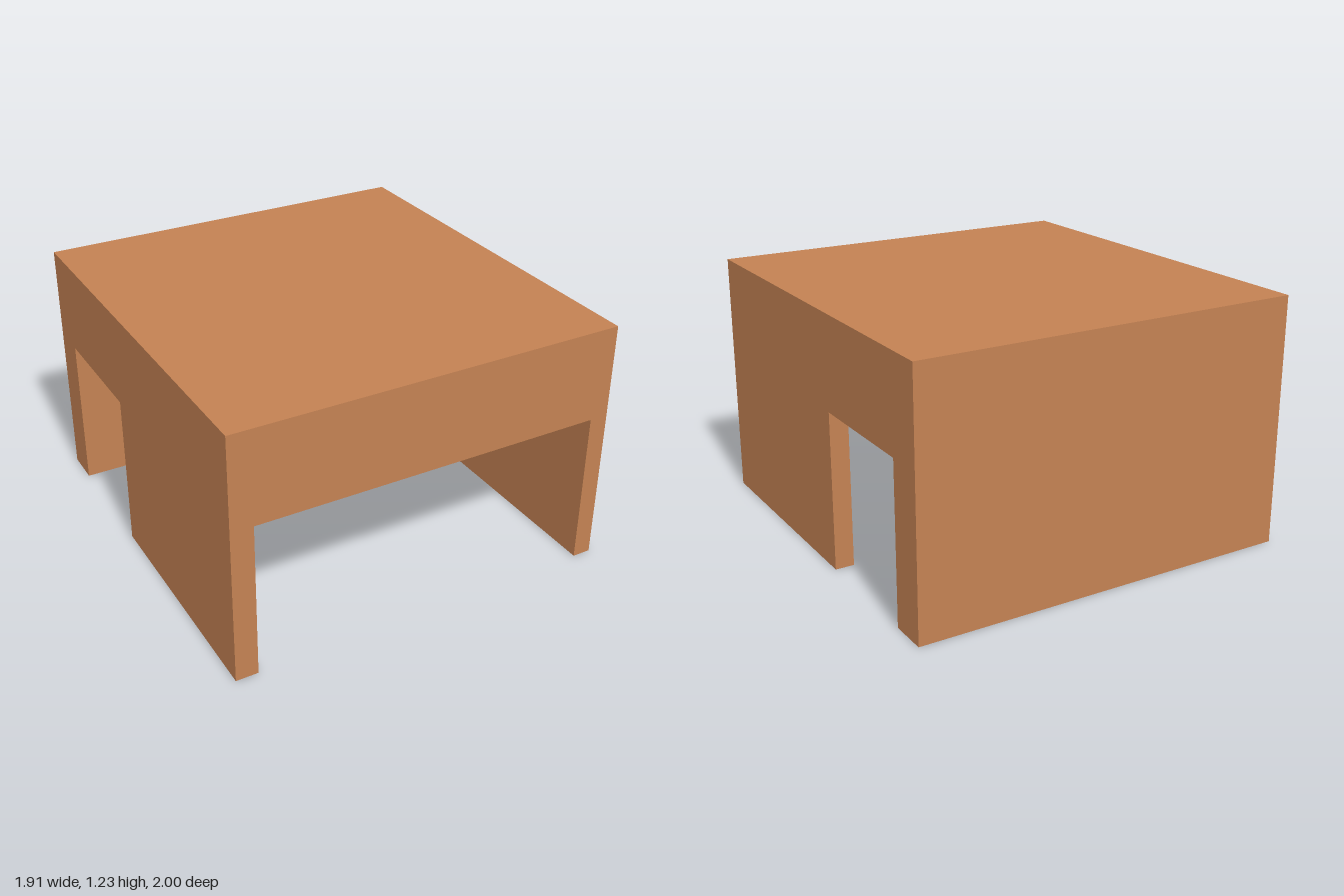
import * as THREE from 'three';

const HALF_W = 0.957, HEIGHT = 1.225;
const CEILING = 1.127, OPENING_TOP = 0.77;
const INNER_RIGHT = -0.849, INNER_LEFT = 0.865; // inner faces of the side walls
const BACK_INNER = -0.815, FRONT_INNER = 0.92;
const DOOR_FRONT = -0.19;

export function createModel() {
  const model = new THREE.Group();
  model.name = 'openShelter';
  const material = new THREE.MeshStandardMaterial({ color: 0xc48253 });

  const add = (name, geometry) => {
    const mesh = new THREE.Mesh(geometry, material);
    mesh.name = name;
    model.add(mesh);
  };

  // Box given by its two extreme corners
  const block = (name, [x0, y0, z0], [x1, y1, z1]) => {
    const geometry = new THREE.BoxGeometry(x1 - x0, y1 - y0, z1 - z0);
    geometry.translate((x0 + x1) / 2, (y0 + y1) / 2, (z0 + z1) / 2);
    add(name, geometry);
  };

  // Side wall: a panel with a doorway next to the back wall, extruded along x
  const sideWall = (name, x0, x1) => {
    const profile = new THREE.Shape([
      [-1, 0], [-DOOR_FRONT, 0], [-DOOR_FRONT, OPENING_TOP],
      [-BACK_INNER, OPENING_TOP], [-BACK_INNER, CEILING], [-1, CEILING],
    ].map(([a, b]) => new THREE.Vector2(a, b)));
    const geometry = new THREE.ExtrudeGeometry(profile, { depth: x1 - x0, bevelEnabled: false });
    geometry.rotateY(Math.PI / 2); // profile axis a becomes -z, depth becomes +x
    geometry.translate(x0, 0, 0);
    add(name, geometry);
  };

  block('roof', [-HALF_W, CEILING, -1], [HALF_W, HEIGHT, 1]);
  block('backWall', [-HALF_W, 0, -1], [HALF_W, CEILING, BACK_INNER]);
  sideWall('rightWall', -HALF_W, INNER_RIGHT);
  sideWall('leftWall', INNER_LEFT, HALF_W);
  block('frontLintel', [INNER_RIGHT, OPENING_TOP, FRONT_INNER], [INNER_LEFT, CEILING, 1]);

  return model;
}
